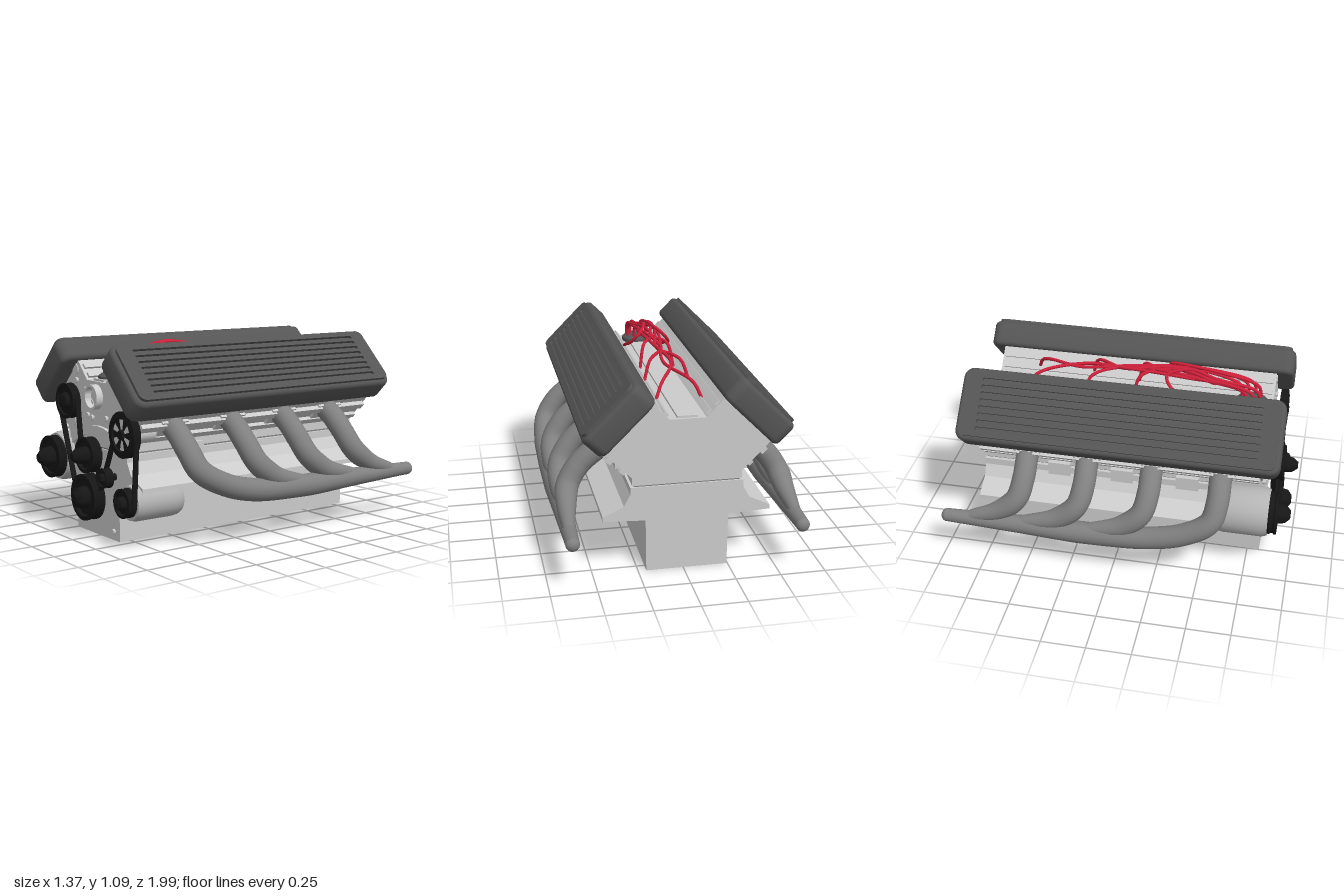
import * as THREE from 'three';
import { toCreasedNormals } from 'three/addons/utils/BufferGeometryUtils.js';

const CX = -0.02; // centre line of the block
const mat = (color) => new THREE.MeshStandardMaterial({ color });
const metal = mat(0xcccccc), dark = mat(0x555555), steel = mat(0x808080);
const black = mat(0x161616), red = mat(0xd0203a), alloy = mat(0xb4b4b4);
const V = (x, y, z) => new THREE.Vector3(x, y, z);

function add(parent, name, geometry, material, x = 0, y = 0, z = 0) {
  const mesh = new THREE.Mesh(geometry, material);
  mesh.name = name;
  mesh.position.set(x, y, z);
  parent.add(mesh);
  return mesh;
}

// Turned part with its axis along z; profile is [radius, z] from back to front
function turned(profile, sides = 40) {
  const g = new THREE.LatheGeometry(profile.map((p) => new THREE.Vector2(...p)), sides);
  return toCreasedNormals(g.rotateX(Math.PI / 2), 0.6);
}

const extrude = (shape, depth, options = {}) =>
  new THREE.ExtrudeGeometry(shape, { depth, bevelEnabled: false, curveSegments: 8, ...options });

function roundedRect(w, h, r, cx = 0, cy = 0, Type = THREE.Shape) {
  const s = new Type(), a = w / 2 - r, b = h / 2 - r;
  s.absarc(cx + a, cy + b, r, 0, Math.PI / 2);
  s.absarc(cx - a, cy + b, r, Math.PI / 2, Math.PI);
  s.absarc(cx - a, cy - b, r, Math.PI, Math.PI * 1.5);
  s.absarc(cx + a, cy - b, r, Math.PI * 1.5, Math.PI * 2);
  s.closePath();
  return s;
}

// Tube whose radius follows radiusAt(t)
function pipe(points, segments, sides, radiusAt) {
  const curve = new THREE.CatmullRomCurve3(points);
  const g = new THREE.TubeGeometry(curve, segments, 1, sides);
  const p = g.attributes.position, v = V();
  for (let i = 0; i < p.count; i++) {
    const t = Math.floor(i / (sides + 1)) / segments;
    const c = curve.getPointAt(t);
    v.fromBufferAttribute(p, i).sub(c).multiplyScalar(radiusAt(t)).add(c);
    p.setXYZ(i, v.x, v.y, v.z);
  }
  return g;
}

// Mirrored cross-section extruded along the engine
function section(half, z0, z1) {
  const pts = [...half, ...half.slice().reverse().map(([x, y]) => [-x, y])];
  const g = extrude(new THREE.Shape(pts.map(([x, y]) => new THREE.Vector2(x + CX, y))), z1 - z0);
  return g.translate(0, 0, z0);
}

function buildBlock(root) {
  const block = new THREE.Group();
  block.name = 'engineBlock';
  root.add(block);
  add(block, 'oilPan', section([[0.225, 0], [0.228, 0.31]], -0.81, 0.82), metal);
  add(block, 'crankcase', section([[0.228, 0.3], [0.46, 0.31], [0.46, 0.335],
    [0.345, 0.39], [0.31, 0.455], [0.31, 0.495]], -0.81, 0.82), metal);
  add(block, 'seam', section([[0.29, 0.49], [0.29, 0.51]], -0.8, 0.81), steel);
  add(block, 'cylinderBanks', section([[0.3, 0.505], [0.3, 0.55], [0.46, 0.71],
    [0.2, 0.97], [0.1, 0.865]], -0.81, 0.82), metal);
  for (const s of [-1, 1]) {
    // Ledges along the outer heads and the valley walls
    for (const [x, y, w] of [[0.345, 0.585, 0.03], [0.415, 0.655, 0.04], [0.12, 0.885, 0.03], [0.165, 0.93, 0.03]]) {
      const rail = add(block, 'headRail', new THREE.BoxGeometry(w, w, 1.6), metal, CX + s * x, y, 0.005);
      rail.rotation.z = Math.PI / 4;
    }
    for (const z of [0.39, 0.01, -0.36])
      add(block, 'mountPad', new THREE.BoxGeometry(0.06, 0.08, 0.13), metal, CX + s * 0.3, 0.49, z);
  }
  add(block, 'valleyPlate', new THREE.BoxGeometry(0.11, 0.02, 1.6), metal, CX, 0.867, 0.005);
}

function buildCover(root, s) {
  // Rounded body with a slotted plate on its outer face
  const cover = new THREE.Group();
  cover.name = s > 0 ? 'leftValveCover' : 'rightValveCover';
  const W = 0.42, L = 1.81, b = 0.025;
  const body = extrude(roundedRect(W, L, 0.06), 0.15 - 2 * b,
    { bevelEnabled: true, bevelSize: b, bevelThickness: b, bevelOffset: -b, bevelSegments: 3 });
  add(cover, 'coverBody', toCreasedNormals(body.translate(0, 0, b), 0.6), dark);
  const plate = roundedRect(W - 2 * b, L - 2 * b, 0.04);
  for (let i = 0; i < 8; i++)
    plate.holes.push(roundedRect(0.02, 1.57, 0.008, (i - 3.5) * 0.04, 0, THREE.Path));
  add(cover, 'slottedPlate', extrude(plate, 0.018), dark, 0, 0, 0.148);
  const k = Math.SQRT1_2;
  cover.applyMatrix4(new THREE.Matrix4()
    .makeBasis(V(-k, s * k, 0), V(0, 0, 1), V(s * k, k, 0))
    .setPosition(CX + s * 0.3225, 0.84, 0.011));
  root.add(cover);
}

function buildExhaust(root, s) {
  const group = new THREE.Group();
  group.name = s > 0 ? 'leftExhaust' : 'rightExhaust';
  root.add(group);
  const P = (x, y, z) => V(s * x, y, z);
  [0.59, 0.2, -0.17, -0.52].forEach((z, i) => {
    const pts = [P(0.36, 0.66, z), P(0.44, 0.61, z), P(0.53, 0.53, z), P(0.595, 0.43, z - 0.03)];
    if (i === 0) pts.push(P(0.62, 0.345, 0.42), P(0.622, 0.29, 0.22), P(0.622, 0.27, -0.1),
      P(0.622, 0.272, -0.55), P(0.622, 0.272, -0.97));
    else pts.push(P(0.615, 0.345, z - 0.14), P(0.622, 0.29, z - (i === 3 ? 0.3 : 0.36)));
    const radius = i === 0 ? (t) => 0.064 - 0.026 * Math.max(0, (t - 0.6) / 0.4)
      : (t) => 0.064 - 0.03 * Math.max(0, (t - 0.6) / 0.4);
    add(group, i === 0 ? 'collectorPipe' : 'headerPipe', pipe(pts, i === 0 ? 70 : 36, 20, radius), steel);
    const flange = add(group, 'portFlange', new THREE.BoxGeometry(0.03, 0.13, 0.17), metal, s * 0.385 + CX, 0.635, z);
    flange.rotation.z = -s * Math.PI / 4;
  });
  const tip = add(group, 'exhaustTip', new THREE.SphereGeometry(0.039, 20, 12), steel, s * 0.622, 0.272, -0.965);
  tip.scale.z = 0.85;
}

function pulley(root, x, y, r, z, depth, hub) {
  const d = depth;
  add(root, 'pulley', turned([[0, 0], [r, 0], [r, d * 0.25], [r * 0.94, d * 0.4], [r * 0.94, d * 0.6], [r, d * 0.75],
    [r, d], [r * 0.82, d], [r * 0.76, d * 0.75], [r * 0.5, d * 0.75], [r * 0.42, d + hub * 0.6],
    [r * 0.2, d + hub], [0, d + hub]]), black, x, y, z);
}

function buildFront(root) {
  const front = new THREE.Group();
  front.name = 'frontDrive';
  root.add(front);
  // Timing cover with its arched flange
  const arch = new THREE.Shape();
  arch.moveTo(-0.27, 0.49);
  arch.lineTo(-0.27, 0.53);
  arch.quadraticCurveTo(0.01, 0.715, 0.29, 0.53);
  arch.lineTo(0.29, 0.49);
  arch.quadraticCurveTo(0.01, 0.665, -0.27, 0.49);
  add(front, 'timingArch', extrude(arch, 0.03), metal, 0, 0, 0.81);
  add(front, 'waterOutlet', turned([[0.055, 0], [0.07, 0], [0.07, 0.05], [0.058, 0.05], [0.058, 0.01], [0, 0.01]]),
    metal, CX, 0.78, 0.81);
  const bolt = new THREE.CylinderGeometry(0.016, 0.016, 0.02, 6).rotateX(Math.PI / 2);
  for (const [x, y] of [[-0.225, 0.855], [-0.13, 0.81], [0.18, 0.825], [-0.105, 0.67], [-0.06, 0.66], [0.09, 0.67],
    [0.19, 0.695], [-0.35, 0.575], [-0.105, 0.36], [-0.205, 0.21], [-0.2, 0.1], [0.15, 0.05]])
    add(front, 'bolt', bolt, metal, x, y, 0.825);
  const plug = new THREE.CylinderGeometry(0.032, 0.032, 0.01, 24).rotateX(Math.PI / 2);
  for (const [x, y] of [[-0.245, 0.915], [-0.08, 0.73], [0.205, 0.915], [0.235, 0.755], [-0.28, 0.62], [-0.385, 0.71]])
    add(front, 'corePlug', plug, metal, x, y, 0.82);

  // Accessory housings behind their pulleys
  const housing = (r, len) => turned([[0, 0], [r * 0.85, 0], [r * 0.96, 0.02], [r, 0.05], [r, len - 0.03], [r * 0.93, len], [0, len]]);
  add(front, 'alternator', housing(0.142, 0.3), alloy, -0.395, 0.4, 0.57);
  add(front, 'pump', housing(0.1, 0.3), alloy, 0.36, 0.25, 0.555);
  add(front, 'accessoryBracket', new THREE.BoxGeometry(0.14, 0.05, 0.12), metal, -0.28, 0.4, 0.74);

  // x, y, radius, back z, thickness, hub length
  const pulleys = [[-0.24, 0.74, 0.1, 0.85, 0.05, 0.02], [-0.395, 0.4, 0.122, 0.87, 0.05, 0.07],
    [0, 0.465, 0.1, 0.86, 0.06, 0.075], [0.165, 0.36, 0.056, 0.86, 0.05, 0.015],
    [0.36, 0.255, 0.08, 0.855, 0.05, 0.03], [CX, 0.225, 0.13, 0.85, 0.07, 0.055]];
  for (const p of pulleys) {
    pulley(front, ...p);
    add(front, 'pulleyShaft', new THREE.CylinderGeometry(p[2] * 0.35, p[2] * 0.35, 0.1, 20).rotateX(Math.PI / 2),
      black, p[0], p[1], p[3] - 0.03);
  }
  // Open-spoked pulley
  add(front, 'spokedPulley', turned([[0, 0], [0.125, 0], [0.125, 0.045], [0.09, 0.05], [0.086, 0.04],
    [0.03, 0.04], [0.025, 0.055], [0, 0.055]]), black, 0.345, 0.62, 0.845);
  for (let i = 0; i < 6; i++)
    add(front, 'spokeGap', new THREE.RingGeometry(0.026, 0.084, 6, 1, i * Math.PI / 3 + 0.3, 0.5), metal, 0.345, 0.62, 0.8865);
  add(front, 'spokedPulleyShaft', new THREE.CylinderGeometry(0.05, 0.05, 0.15, 20).rotateX(Math.PI / 2), metal, 0.345, 0.62, 0.775);

  // Straight runs of the drive belts
  for (const [x0, y0, x1, y1] of [[-0.34, 0.72, -0.145, 0.18], [-0.138, 0.76, -0.1, 0.47],
    [0.47, 0.62, 0.44, 0.26], [0.235, 0.56, 0.1, 0.28]]) {
    const run = add(front, 'belt', new THREE.BoxGeometry(Math.hypot(x1 - x0, y1 - y0), 0.008, 0.03),
      black, (x0 + x1) / 2, (y0 + y1) / 2, 0.873);
    run.rotation.z = Math.atan2(y1 - y0, x1 - x0);
  }
}

function buildIgnition(root) {
  const group = new THREE.Group();
  group.name = 'ignition';
  root.add(group);
  const cap = turned([[0, 0], [0.07, 0], [0.092, 0.015], [0.092, 0.035], [0.075, 0.05], [0, 0.05]]).rotateX(-Math.PI / 2);
  add(group, 'distributorCap', cap, dark, CX, 0.855, 0.7);
  // Four mirrored pairs of leads, arching back from the cap
  [[0.5, 0.12, 0.98], [0.03, 0.1, 1.02], [-0.25, 0.13, 1.0], [-0.58, 0.13, 0.97]].forEach(([z, x, top], i) => {
    for (const s of [-1, 1]) {
      const a = 0.5 + i * 0.75, sx = CX + s * 0.065 * Math.sin(a), sz = 0.7 + 0.055 * Math.cos(a);
      const peak = 1.065 - i * 0.012, span = 0.62 - z;
      const pts = [V(sx, 0.89, sz), V(sx, 0.97, sz - 0.015)];
      if (i === 0) pts.push(V(CX + s * 0.04, 1.03, 0.5), V(CX + s * 0.02, peak, 0.35), V(CX + s * 0.07, 1.04, 0.22),
        V(CX + s * 0.115, top, 0.26), V(CX + s * x, 0.93, 0.4));
      else pts.push(V(CX + s * 0.055, 1.03, 0.62 - span * 0.25), V(CX + s * 0.02, peak, 0.62 - span * 0.5),
        V(CX - s * 0.01 * (i - 1), peak - 0.02, 0.62 - span * 0.75), V(CX + s * x * 0.7, top, z + 0.04));
      pts.push(V(CX + s * x, 0.885, z));
      add(group, 'ignitionLead', pipe(pts, 40, 8, () => 0.0095), red);
    }
  });
}

export function createModel() {
  const root = new THREE.Group();
  root.name = 'engine';
  buildBlock(root);
  for (const s of [-1, 1]) {
    buildCover(root, s);
    buildExhaust(root, s);
  }
  buildFront(root);
  buildIgnition(root);
  return root;
}
